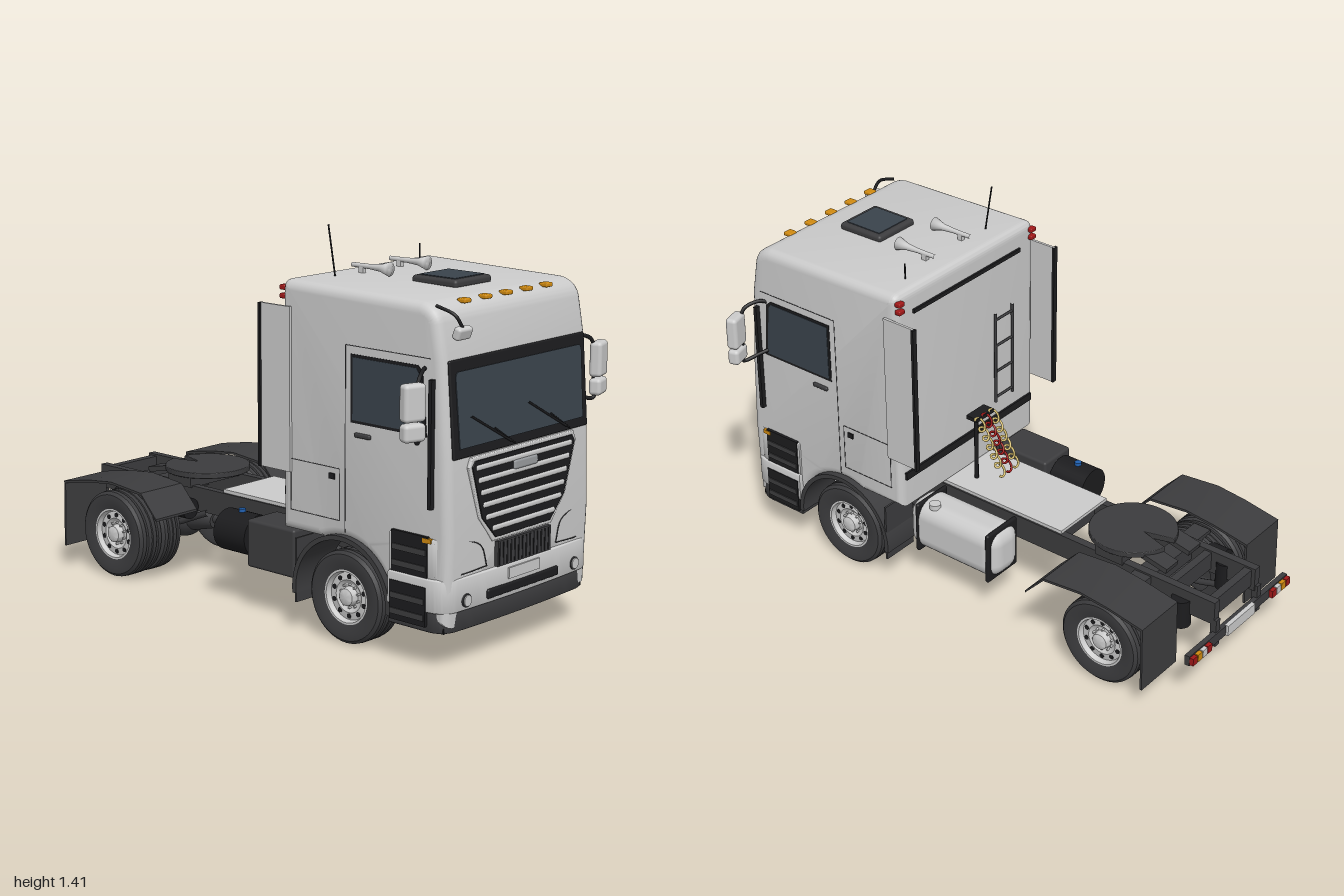
import * as THREE from 'three';
import { toCreasedNormals } from 'three/addons/utils/BufferGeometryUtils.js';
import { RoundedBoxGeometry } from 'three/addons/geometries/RoundedBoxGeometry.js';

const paint = (color) => new THREE.MeshStandardMaterial({ color });
const GREY = paint(0xcccccc), DARK = paint(0x3c3c3e), BLACK = paint(0x1c1c1e), GLASS = paint(0x3a434c);
const AMBER = paint(0xd08a10), RED = paint(0xa01818), WHITE = paint(0xf0f0f0), BLUE = paint(0x2060b0);
const V = (x, y, z) => new THREE.Vector3(x, y, z);

export function createModel() {
  const root = new THREE.Group();
  const add = (name, geo, mat, x = 0, y = 0, z = 0, parent = root) => {
    const m = new THREE.Mesh(geo, mat);
    m.name = name;
    m.position.set(x, y, z);
    parent.add(m);
    return m;
  };
  // box given by its limits on each axis
  const box = (name, mat, x0, x1, y0, y1, z0, z1, r = 0) => {
    const s = [Math.abs(x1 - x0), y1 - y0, Math.abs(z1 - z0)];
    const g = r ? new RoundedBoxGeometry(...s, 3, r) : new THREE.BoxGeometry(...s);
    return add(name, g, mat, (x0 + x1) / 2, (y0 + y1) / 2, (z0 + z1) / 2);
  };
  const rod = (name, mat, r, ...pts) => {
    const path = pts.length > 2 ? new THREE.CatmullRomCurve3(pts) : new THREE.LineCurve3(...pts);
    return add(name, new THREE.TubeGeometry(path, pts.length > 2 ? 20 : 1, r, 8), mat);
  };
  // cylinder along an axis, centred at a point
  const cyl = (name, mat, r, len, axis, x, y, z, r2 = r) => {
    const g = new THREE.CylinderGeometry(r2, r, len, 32);
    if (axis === 'x') g.rotateZ(-Math.PI / 2);
    if (axis === 'z') g.rotateX(Math.PI / 2);
    return add(name, g, mat, x, y, z);
  };
  const extrude = (shape, depth, b) => new THREE.ExtrudeGeometry(shape, {
    depth: depth - 2 * b, bevelEnabled: b > 0, bevelSize: b, bevelThickness: b,
    bevelOffset: -b, bevelSegments: 5, curveSegments: 20,
  }).translate(0, 0, b);
  // shape drawn in (z, y), swept from x0 to x1
  const sideExtrude = (name, mat, shape, x0, x1, b = 0) =>
    add(name, toCreasedNormals(extrude(shape, x1 - x0, b).rotateY(-Math.PI / 2), 0.6), mat, x1);
  const poly = (pts) => new THREE.Shape(pts.map(([a, b]) => new THREE.Vector2(a, b)));

  // cab shell with the front wheel arch cut out
  const cab = new THREE.Shape();
  cab.moveTo(0.24, 0.36);
  cab.lineTo(0.44, 0.36);
  cab.absarc(0.525, 0.165, 0.213, 1.98, 0.2, true);
  cab.lineTo(0.75, 0.15);
  cab.lineTo(0.975, 0.15);
  cab.lineTo(0.985, 0.45);
  cab.lineTo(0.975, 0.72);
  cab.lineTo(0.95, 1.04);
  cab.lineTo(0.928, 1.16);
  cab.quadraticCurveTo(0.915, 1.215, 0.85, 1.224);
  cab.lineTo(0.27, 1.235);
  cab.quadraticCurveTo(0.24, 1.235, 0.24, 1.2);
  sideExtrude('cabShell', GREY, cab, -0.392, 0.392, 0.035);

  // bumper layers share one curved plan
  const plan = (w, front) => {
    const s = new THREE.Shape();
    s.moveTo(-w, -0.74);
    s.lineTo(w, -0.74);
    s.lineTo(w, -0.9);
    s.quadraticCurveTo(w, -front + 0.02, w - 0.07, -front + 0.013);
    s.quadraticCurveTo(0, -front - 0.006, -w + 0.07, -front + 0.013);
    s.quadraticCurveTo(-w, -front + 0.02, -w, -0.9);
    return s;
  };
  for (const [name, mat, w, front, y0, y1] of [['bumperSkirt', DARK, 0.4, 0.99, 0.13, 0.205],
    ['bumper', GREY, 0.408, 0.998, 0.2, 0.315], ['headlightFascia', GREY, 0.4, 0.988, 0.31, 0.45]])
    add(name, toCreasedNormals(extrude(plan(w, front), y1 - y0, 0.008).rotateX(-Math.PI / 2), 0.6), mat, 0, y0);
  box('bumperSlot', BLACK, -0.195, 0.195, 0.216, 0.25, 0.98, 1.0, 0.008);
  box('numberPlate', WHITE, -0.085, 0.085, 0.264, 0.302, 0.98, 1.0);
  box('lowerMesh', DARK, -0.145, 0.145, 0.318, 0.405, 0.97, 0.998);
  for (let i = 0; i < 14; i++) box('meshRib', BLACK, -0.14 + i * 0.0207, -0.133 + i * 0.0207, 0.322, 0.4, 0.99, 0.9995);

  // grille: dark trapezoid, light rim and slats
  const trapezoid = (g) => poly([[-0.15 - g, 0.42 - g], [0.15 + g, 0.42 - g], [0.225 + g, 0.5], [0.28 + g, 0.68], [0.265 + g, 0.7 + g],
    [-0.265 - g, 0.7 + g], [-0.28 - g, 0.68], [-0.225 - g, 0.5]]);
  add('grilleRim', extrude(trapezoid(0.012), 0.022, 0.005), GREY, 0, 0, 0.966);
  add('grille', extrude(trapezoid(0), 0.026, 0.003), BLACK, 0, 0, 0.966);
  for (let i = 0; i < 6; i++) {
    const y = 0.675 - i * 0.044, w = y > 0.5 ? 0.21 + (y - 0.5) * 0.3 : 0.16 + (y - 0.44) * 0.8;
    box('grilleSlat', GREY, -w, w, y - 0.01, y + 0.01, 0.975, 0.997, 0.008);
  }
  box('grilleBadge', paint(0x999c9f), -0.065, 0.065, 0.635, 0.67, 0.98, 1.0, 0.009);

  // windscreen and wipers, leaning back with the cab front
  const screen = new THREE.Group();
  screen.name = 'windscreen';
  screen.position.set(0, 0.878, 0.964);
  screen.rotation.x = -0.078;
  root.add(screen);
  add('screenSurround', new RoundedBoxGeometry(0.73, 0.325, 0.012, 3, 0.006), BLACK, 0, 0, 0, screen);
  const pane = new THREE.Shape();
  pane.moveTo(-0.335, -0.13);
  pane.lineTo(0.335, -0.13);
  pane.lineTo(0.34, 0.1);
  pane.quadraticCurveTo(0.34, 0.123, 0.32, 0.123);
  pane.lineTo(-0.32, 0.123);
  pane.quadraticCurveTo(-0.34, 0.123, -0.34, 0.1);
  add('screenGlass', extrude(pane, 0.006, 0), GLASS, 0, 0, 0.003, screen);
  for (const x of [-0.07, 0.235]) {
    rod('wiper', BLACK, 0.004, V(x, 0.735, 0.985), V(x - 0.205, 0.85, 0.977));
    rod('wiperArm', BLACK, 0.003, V(x + 0.02, 0.725, 0.985), V(x - 0.09, 0.795, 0.983));
  }

  // roof fittings
  for (let i = -2; i <= 2; i++) box('roofMarker', AMBER, i * 0.11 - 0.018, i * 0.11 + 0.018, 1.207, 1.222, 0.88, 0.915, 0.005);
  box('roofHatch', DARK, -0.1, 0.095, 1.22, 1.25, 0.57, 0.765, 0.012);
  box('hatchGlass', GLASS, -0.08, 0.075, 1.24, 1.253, 0.59, 0.745);
  const hornProfile = [[0.008, 0], [0.009, 0.08], [0.013, 0.13], [0.025, 0.17], [0, 0.165]].map(([r, l]) => new THREE.Vector2(r, l));
  for (const x of [-0.1, 0.1]) {
    add('horn', new THREE.LatheGeometry(hornProfile, 24).rotateX(Math.PI / 2), GREY, x, 1.258, 0.305);
    box('hornFoot', GREY, x - 0.008, x + 0.008, 1.225, 1.255, 0.34, 0.36);
  }
  rod('longAntenna', BLACK, 0.003, V(-0.222, 1.23, 0.335), V(-0.23, 1.41, 0.31));
  rod('shortAntenna', BLACK, 0.003, V(0.255, 1.23, 0.31), V(0.255, 1.295, 0.31));
  rod('kerbMirrorArm', BLACK, 0.006, V(-0.365, 1.215, 0.9), V(-0.355, 1.19, 0.97), V(-0.335, 1.15, 0.985));
  box('kerbMirror', GREY, -0.365, -0.293, 1.11, 1.153, 0.965, 0.995, 0.01).rotation.x = 0.35;

  // one axle end: tyre, dished rim, holes and hub; local +x points outwards
  const tyreProfile = [[0.09, -0.045], [0.13, -0.058], [0.152, -0.056], [0.163, -0.046], [0.165, -0.03], [0.158, -0.027], [0.158, -0.023],
    [0.165, -0.02], [0.165, -0.003], [0.158, 0], [0.165, 0.003], [0.165, 0.02], [0.158, 0.023], [0.158, 0.027], [0.165, 0.03], [0.163, 0.046],
    [0.152, 0.056], [0.13, 0.058], [0.095, 0.048], [0.09, 0.03]].map(([r, l]) => new THREE.Vector2(r, l));
  const tyreGeo = toCreasedNormals(new THREE.LatheGeometry(tyreProfile, 48).rotateZ(-Math.PI / 2), 0.6);
  const rimGeo = toCreasedNormals(new THREE.LatheGeometry([[0.097, 0.05], [0.09, 0.05], [0.084, 0.03], [0.058, 0.034], [0.045, 0.025], [0.034, 0.025],
    [0.03, 0.05], [0.02, 0.055], [0, 0.055]].map(([r, l]) => new THREE.Vector2(r, l)), 40).rotateZ(-Math.PI / 2), 0.5);
  const wheel = (name, side, x, z, inner) => {
    const g = new THREE.Group();
    g.name = name;
    g.position.set(side * x, 0.165, z);
    if (side < 0) g.rotation.y = Math.PI;
    root.add(g);
    add('tyre', tyreGeo, DARK, 0, 0, 0, g);
    if (inner) add('innerTyre', tyreGeo, DARK, -0.105, 0, 0, g).scale.x = 0.85;
    add('rim', rimGeo, GREY, 0, 0, 0, g);
    add('rimBack', new THREE.CylinderGeometry(0.092, 0.092, 0.03, 32).rotateZ(Math.PI / 2), DARK, -0.03, 0, 0, g);
    for (let i = 0; i < 10; i++) {
      const a = i * Math.PI / 5, c = Math.cos(a), s = Math.sin(a);
      add('rimHole', new THREE.CylinderGeometry(0.009, 0.009, 0.008, 12).rotateZ(Math.PI / 2), BLACK, 0.03, c * 0.07, s * 0.07, g);
      add('wheelNut', new THREE.CylinderGeometry(0.004, 0.004, 0.012, 6).rotateZ(Math.PI / 2), GREY, 0.03, c * 0.041, s * 0.041, g);
    }
  };

  // parts repeated on both sides
  const arch = new THREE.Shape();
  arch.absarc(0.525, 0.165, 0.222, -0.05, Math.PI + 0.1, false);
  arch.absarc(0.525, 0.165, 0.205, Math.PI + 0.1, -0.05, true);
  const fenderLine = [[-0.36, 0.285], [-0.44, 0.37], [-0.6, 0.385], [-0.72, 0.372], [-0.865, 0.345], [-0.87, 0.09]];
  const fender = poly([...fenderLine, ...fenderLine.map(([z, y]) => [z + (z < -0.8 ? 0.008 : 0), y - (y > 0.2 ? 0.009 : 0)]).reverse()]);
  for (const s of [1, -1]) {
    const sbox = (n, m, x0, x1, ...r) => box(n, m, s * x0, s * x1, ...r);
    const sweep = (n, m, shape, x0, x1, b) => sideExtrude(n, m, shape, Math.min(s * x0, s * x1), Math.max(s * x0, s * x1), b);
    wheel('frontWheel', s, 0.325, 0.525, false);
    wheel('rearWheel', s, 0.325, -0.65, true);
    sweep('frontArch', DARK, arch, 0.23, 0.405);
    sweep('rearFender', DARK, fender, 0.217, 0.425);
    sbox('frontMudflap', DARK, 0.25, 0.4, 0.11, 0.34, 0.312, 0.32);
    // door, window, locker
    sweep('sideWindow', BLACK, poly([[0.56, 0.785], [0.89, 0.785], [0.87, 1.0], [0.85, 1.018], [0.56, 1.018]]), 0.385, 0.394);
    sweep('sideGlass', GLASS, poly([[0.57, 0.795], [0.875, 0.795], [0.858, 0.99], [0.845, 1.008], [0.57, 1.008]]), 0.385, 0.396);
    sbox('doorRearSeam', DARK, 0.385, 0.393, 0.4, 1.045, 0.534, 0.537);
    sbox('doorTopSeam', DARK, 0.385, 0.393, 1.044, 1.047, 0.537, 0.9);
    sbox('doorHandle', DARK, 0.385, 0.402, 0.738, 0.754, 0.58, 0.65, 0.006);
    for (const y of [0.435, 0.615]) sbox('lockerSeam', DARK, 0.385, 0.393, y, y + 0.003, 0.285, 0.51);
    for (const z of [0.285, 0.51]) sbox('lockerSeam', DARK, 0.385, 0.393, y0(0.435), 0.617, z, z + 0.003);
    sbox('lockerLatch', BLACK, 0.385, 0.397, 0.577, 0.597, 0.465, 0.49);
    sbox('windDeflector', BLACK, 0.388, 0.41, 0.55, 0.98, 0.908, 0.922);
    // boarding steps
    for (const [a, b, x] of [[0.315, 0.455, 0.403], [0.15, 0.285, 0.411]]) {
      sbox('stepWell', BLACK, 0.36, x, a, b, 0.75, 0.905);
      for (const t of [0.02, 0.075]) sbox('stepTread', DARK, 0.36, x + 0.004, a + t, a + t + 0.02, 0.755, 0.9);
    }
    sbox('sideMarker', AMBER, 0.38, 0.405, 0.435, 0.45, 0.885, 0.92);
    cyl('fogLampRing', DARK, 0.023, 0.02, 'z', s * 0.297, 0.235, 0.982);
    cyl('fogLamp', GREY, 0.019, 0.02, 'z', s * 0.297, 0.235, 0.986);
    // headlight outline on the fascia
    rod('headlightSeam', DARK, 0.002, V(s * 0.395, 0.435, 0.93), V(s * 0.33, 0.44, 0.975), V(s * 0.22, 0.405, 0.984), V(s * 0.19, 0.33, 0.986));
    rod('headlightSeam', DARK, 0.002, V(s * 0.395, 0.325, 0.93), V(s * 0.33, 0.325, 0.976), V(s * 0.19, 0.33, 0.986));
    // mirrors
    for (const [a, b] of [[0.86, 0.985], [0.795, 0.855]])
      sbox('mirrorHousing', GREY, 0.463, 0.545, a, b, 0.9, 0.945, 0.014).rotation.y = s * 0.3;
    rod('mirrorUpperArm', BLACK, 0.007, V(s * 0.37, 1.0, 0.86), V(s * 0.41, 1.015, 0.89), V(s * 0.46, 1.0, 0.915), V(s * 0.48, 0.97, 0.92));
    rod('mirrorLowerArm', BLACK, 0.007, V(s * 0.38, 0.81, 0.87), V(s * 0.42, 0.8, 0.89), V(s * 0.48, 0.785, 0.92), V(s * 0.49, 0.82, 0.92));
    rod('mirrorPost', BLACK, 0.006, V(s * 0.48, 0.8, 0.918), V(s * 0.48, 0.98, 0.918));
    // rear air deflector and corner lights
    sbox('rearDeflector', GREY, 0.392, 0.402, 0.57, 1.145, 0.15, 0.29);
    sbox('deflectorEdge', BLACK, 0.39, 0.41, 0.57, 1.145, 0.146, 0.156);
    for (const y of [1.165, 1.195]) sbox('cornerLight', RED, 0.355, 0.385, y, y + 0.018, 0.225, 0.25, 0.005);
    // frame rails, suspension and rear lamps
    sbox('frameRail', DARK, 0.112, 0.142, 0.25, 0.342, -0.97, 0.8);
    cyl('airBellows', BLACK, 0.037, 0.11, 'y', s * 0.14, 0.25, -0.83);
    cyl('airTank', BLACK, 0.04, 0.38, 'z', s * 0.19, 0.27, -0.61);
    rod('rearSpring', DARK, 0.012, V(s * 0.14, 0.25, -0.38), V(s * 0.14, 0.16, -0.65), V(s * 0.14, 0.2, -0.84));
    rod('frontSpring', DARK, 0.012, V(s * 0.15, 0.25, 0.8), V(s * 0.15, 0.17, 0.525), V(s * 0.15, 0.25, 0.27));
    [[0.295, RED], [0.265, AMBER], [0.235, WHITE], [0.205, RED]].forEach(([x, m]) =>
      sbox('tailLamp', m, x - 0.013, x + 0.013, 0.185, 0.215, -1.0, -0.98));
  }
  function y0(v) { return v; }

  // chassis: axles, differential, shaft, cross members
  cyl('frontAxle', DARK, 0.03, 0.56, 'x', 0, 0.16, 0.525);
  cyl('rearAxle', DARK, 0.04, 0.56, 'x', 0, 0.165, -0.65);
  add('differential', new THREE.SphereGeometry(0.085, 24, 16), DARK, 0, 0.17, -0.65);
  cyl('differentialNose', DARK, 0.065, 0.14, 'z', 0, 0.175, -0.55, 0.03);
  rod('driveShaft', DARK, 0.018, V(0, 0.18, -0.5), V(0, 0.24, 0.3));
  box('engine', DARK, -0.11, 0.11, 0.19, 0.36, 0.3, 0.8);
  box('underTray', BLACK, -0.38, 0.38, 0.13, 0.15, 0.745, 0.96);
  for (const z of [-0.94, -0.77, -0.25, 0.1]) box('crossMember', DARK, -0.12, 0.12, 0.265, 0.335, z - 0.015, z + 0.015);
  box('rearCrossBeam', DARK, -0.23, 0.23, 0.27, 0.335, -0.7, -0.63);
  box('deckPlate', GREY, -0.137, 0.137, 0.343, 0.356, -0.3, 0.26);
  box('rearBar', DARK, -0.31, 0.31, 0.18, 0.22, -0.985, -0.965);
  box('rearPlate', WHITE, -0.085, 0.085, 0.18, 0.222, -0.995, -0.98);
  for (const x of [-0.13, 0.13]) box('rearBarHanger', DARK, x - 0.012, x + 0.012, 0.16, 0.27, -0.98, -0.955);

  // coupling plate with entry slot and ramps
  const disc = new THREE.Shape();
  disc.absarc(0, 0, 0.162, -Math.PI / 2 + 2.95, -Math.PI / 2 - 2.95 + Math.PI * 2, true);
  disc.lineTo(0, 0.05);
  add('couplingPlate', extrude(disc, 0.022, 0.004).rotateX(-Math.PI / 2), DARK, 0, 0.372, -0.52);
  for (const x of [-0.07, 0.07]) box('couplingRamp', DARK, x - 0.035, x + 0.035, 0.355, 0.375, -0.74, -0.62).rotation.x = -0.2;
  box('couplingStand', DARK, -0.15, 0.15, 0.335, 0.375, -0.58, -0.46);

  // fuel tank and fittings on the left
  box('fuelTank', GREY, 0.16, 0.325, 0.15, 0.35, -0.138, 0.28, 0.06);
  for (const z of [-0.105, 0.225]) box('tankStrap', BLACK, 0.157, 0.328, 0.147, 0.353, z - 0.009, z + 0.009, 0.009);
  cyl('tankCap', GREY, 0.022, 0.02, 'y', 0.285, 0.35, 0.17);
  rod('exhaustPipe', BLACK, 0.016, V(0.1, 0.2, 0.2), V(0.18, 0.15, 0.14), V(0.24, 0.125, 0.06));
  // tank and battery box on the right
  cyl('airReservoir', BLACK, 0.076, 0.155, 'z', -0.275, 0.265, -0.06);
  cyl('blueCap', BLUE, 0.013, 0.02, 'y', -0.275, 0.342, 0.065 - 0.13);
  box('batteryBox', DARK, -0.35, -0.195, 0.17, 0.345, 0.03, 0.26, 0.01);

  // rear wall: strips, ladder, hose post and coiled hoses
  box('upperStrip', BLACK, -0.3, 0.3, 1.14, 1.155, 0.232, 0.245);
  box('lowerStrip', BLACK, -0.365, 0.365, 0.475, 0.505, 0.232, 0.245);
  for (const x of [-0.245, -0.145]) rod('ladderRail', DARK, 0.006, V(x, 0.57, 0.228), V(x, 0.95, 0.228));
  for (let i = 0; i < 4; i++) rod('ladderRung', DARK, 0.005, V(-0.245, 0.59 + i * 0.11, 0.228), V(-0.145, 0.59 + i * 0.11, 0.228));
  rod('hosePost', BLACK, 0.008, V(0.05, 0.356, 0.165), V(0.05, 0.65, 0.165));
  box('hoseBracket', BLACK, 0, 0.1, 0.635, 0.65, 0.12, 0.17);
  [paint(0xd8c070), RED, paint(0xd8c070)].forEach((m, k) => {
    const pts = [];
    for (let i = 0; i <= 72; i++) {
      const t = i / 72, a = t * Math.PI * 12;
      pts.push(V(0.01 + k * 0.04 + 0.017 * Math.cos(a), 0.645 - 0.19 * t + 0.012 * Math.sin(a), 0.12 - 0.11 * t + 0.012 * Math.sin(a)));
    }
    add('coiledHose', new THREE.TubeGeometry(new THREE.CatmullRomCurve3(pts), 180, 0.0045, 6), m);
  });
  return root;
}
